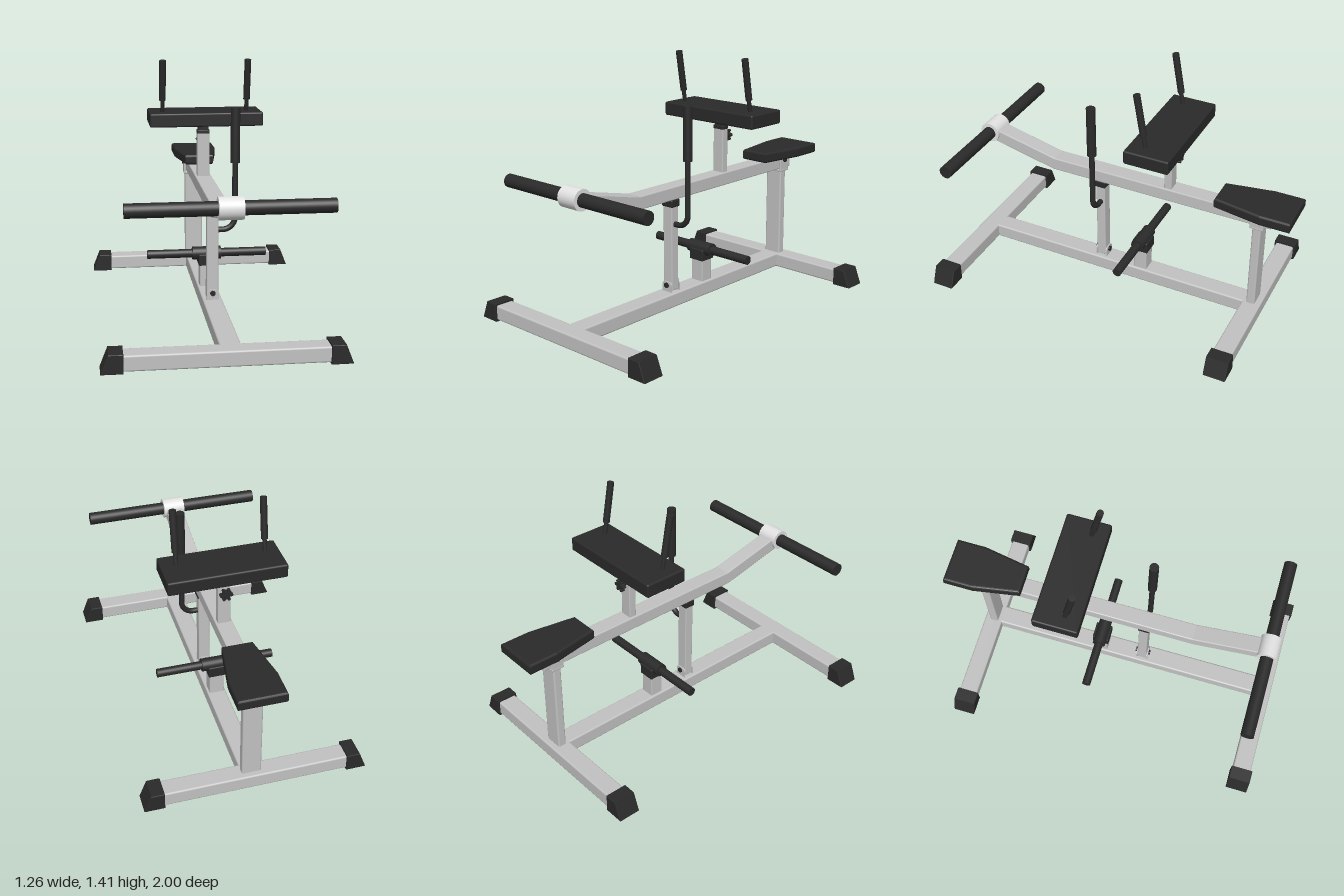
import * as THREE from 'three';
import { RoundedBoxGeometry } from 'three/addons/geometries/RoundedBoxGeometry.js';

const mat = (name, color) => {
  const m = new THREE.MeshStandardMaterial({ color });
  m.name = name;
  return m;
};

export function createModel() {
  const steel = mat('silver steel', 0xc2c2c2);
  const sleeveWhite = mat('bright sleeve', 0xe2e2e2);
  const black = mat('black padding', 0x2a2a2a);
  const model = new THREE.Group();
  const CX = 0.022; // centre line of the lever and posts

  const add = (name, geometry, material) => {
    const mesh = new THREE.Mesh(geometry, material);
    mesh.name = name;
    model.add(mesh);
    return mesh;
  };
  // Rounded box given by its limits on each axis
  const box = (name, material, [x0, x1], [y0, y1], [z0, z1], r = 0.01) => {
    const mesh = add(name, new RoundedBoxGeometry(x1 - x0, y1 - y0, z1 - z0, 2, r), material);
    mesh.position.set((x0 + x1) / 2, (y0 + y1) / 2, (z0 + z1) / 2);
    return mesh;
  };
  // Round rod between two points
  const rod = (name, material, a, b, r, sides = 28) => {
    const p = new THREE.Vector3(...a), q = new THREE.Vector3(...b);
    const d = q.clone().sub(p);
    const mesh = add(name, new THREE.CylinderGeometry(r, r, d.length(), sides), material);
    mesh.position.copy(p).add(q).multiplyScalar(0.5);
    mesh.quaternion.setFromUnitVectors(new THREE.Vector3(0, 1, 0), d.normalize());
    return mesh;
  };
  const around = (half) => [CX - half, CX + half];
  const shapeOf = (points) => new THREE.Shape(points.map((p) => new THREE.Vector2(...p)));

  // Base frame
  box('baseBeam', steel, around(0.055), [0.008, 0.092], [-0.76, 0.9]);
  for (const z of [0.935, -0.797]) {
    box('crossBeam', steel, [-0.56, 0.56], [0.008, 0.092], [z - 0.054, z + 0.054]);
    for (const side of [-1, 1]) {
      const b = 0.004;
      const foot = new THREE.ExtrudeGeometry(
        shapeOf([[0.515 + b, b], [0.628 - b, b], [0.59 - b, 0.102 - b], [0.515 + b, 0.102 - b]]),
        { depth: 0.12, bevelThickness: b, bevelSize: b, bevelSegments: 2 });
      foot.translate(0, 0, -0.06);
      if (side < 0) foot.rotateY(Math.PI);
      add('foot', foot, black).position.z = z;
    }
  }

  // Rear column with the pivot bracket of the lever
  box('rearColumn', steel, around(0.055), [0.08, 0.632], [-0.817, -0.767]);
  box('pivotBracketBase', steel, around(0.064), [0.622, 0.636], [-0.831, -0.753], 0.004);
  for (const s of [-1, 1]) {
    const x = CX + s * 0.057;
    box('pivotBracketPlate', steel, [x - 0.006, x + 0.006], [0.625, 0.718], [-0.831, -0.753], 0.004);
  }
  rod('pivotBolt', black, [CX - 0.072, 0.694, -0.793], [CX + 0.072, 0.694, -0.793], 0.014);

  // Bent lever arm, extruded sideways from its side profile
  const lever = new THREE.ExtrudeGeometry(shapeOf([
    [-0.864, 0.643], [0.465, 0.643], [0.85, 0.733], [0.85, 0.8], [0.455, 0.707], [-0.864, 0.707],
  ]), { depth: 0.084, bevelThickness: 0.006, bevelSize: 0.006, bevelSegments: 2 });
  lever.translate(0, 0, -0.042);
  lever.rotateY(-Math.PI / 2);
  add('leverArm', lever, steel).position.x = CX;

  // Weight bar across the front of the lever
  rod('weightBarSleeve', sleeveWhite, [CX - 0.063, 0.784, 0.877], [CX + 0.063, 0.784, 0.877], 0.058, 40);
  rod('weightBar', black, [-0.498, 0.784, 0.877], [0.548, 0.784, 0.877], 0.037, 32);

  // Seat, narrower towards the front
  const bevel = 0.014;
  const w = 0.132 - bevel, n = 0.088 - bevel;
  const seat = new THREE.ExtrudeGeometry(shapeOf([
    [-w, 1 - bevel], [-w, 0.83], [-n, 0.555 + bevel], [n, 0.555 + bevel], [w, 0.83], [w, 1 - bevel],
  ].reverse()), { depth: 0.034, bevelThickness: bevel, bevelSize: bevel, bevelSegments: 4 });
  seat.rotateX(-Math.PI / 2);
  add('seat', seat, black).position.set(0.034, 0.717 + bevel, 0);

  // Thigh pad on its adjustable post
  box('padPost', steel, around(0.036), [0.7, 0.972], [-0.279, -0.234], 0.006);
  box('padPostCollar', black, around(0.037), [0.965, 0.988], [-0.28, -0.233], 0.004);
  box('padPostInner', black, around(0.03), [0.97, 1.035], [-0.277, -0.236], 0.005);
  box('thighPad', black, [-0.298, 0.357], [1.022, 1.102], [-0.384, -0.127]);
  rod('knobStem', black, [CX, 0.922, -0.27], [CX, 0.922, -0.31], 0.012);
  rod('knobHub', black, [CX, 0.922, -0.299], [CX, 0.922, -0.324], 0.022);
  for (let i = 0; i < 6; i++) {
    const a = (i * Math.PI) / 3;
    const x = CX + 0.028 * Math.cos(a), y = 0.922 + 0.028 * Math.sin(a);
    rod('knobLobe', black, [x, y, -0.3], [x, y, -0.322], 0.009, 14);
  }

  // Leaning hand grips on the pad
  for (const x of [-0.22, 0.27]) {
    rod('gripStem', black, [x, 1.08, -0.222], [x, 1.19, -0.199], 0.012);
    rod('handGrip', black, [x, 1.17, -0.205], [x, 1.402, -0.165], 0.019);
  }

  // Locking post hinged on the base
  box('lockPost', steel, around(0.033), [0.1, 0.61], [0.139, 0.194], 0.006);
  box('lockPostCap', black, around(0.04), [0.59, 0.634], [0.132, 0.2], 0.008);
  const plate = new THREE.Shape();
  plate.moveTo(-0.034, 0.085);
  plate.lineTo(0.034, 0.085);
  plate.lineTo(0.034, 0.13);
  plate.absarc(0.014, 0.13, 0.02, 0, Math.PI / 2);
  plate.absarc(-0.014, 0.13, 0.02, Math.PI / 2, Math.PI);
  for (const z of [0.194, 0.131]) {
    add('hingePlate', new THREE.ExtrudeGeometry(plate, { depth: 0.008, bevelEnabled: false }), steel)
      .position.set(CX, 0, z);
  }
  rod('hingeBolt', black, [CX, 0.13, 0.122], [CX, 0.13, 0.211], 0.015);

  // Curved release handle
  const Z = 0.166;
  const path = new THREE.CurvePath();
  const v = (x, y) => new THREE.Vector3(x, y, Z);
  path.add(new THREE.LineCurve3(v(0.04, 0.49), v(0.08, 0.49)));
  path.add(new THREE.CubicBezierCurve3(v(0.08, 0.49), v(0.119, 0.49), v(0.15, 0.521), v(0.15, 0.56)));
  path.add(new THREE.LineCurve3(v(0.15, 0.56), v(0.15, 0.9)));
  add('releaseHandleRod', new THREE.TubeGeometry(path, 80, 0.016, 18), black);
  rod('releaseHandleGrip', black, [0.15, 0.868, Z], [0.15, 1.172, Z], 0.026);

  // Plate storage bar on a short post
  const PZ = -0.093;
  box('storagePost', steel, around(0.042), [0.08, 0.24], [PZ - 0.04, PZ + 0.04], 0.006);
  box('storageCap', black, around(0.05), [0.217, 0.285], [PZ - 0.049, PZ + 0.049], 0.006);
  rod('storageSleeve', black, [CX - 0.083, 0.283, PZ], [CX + 0.083, 0.283, PZ], 0.038, 32);
  rod('storageBar', black, [-0.325, 0.283, PZ], [0.371, 0.283, PZ], 0.025);

  return model;
}
